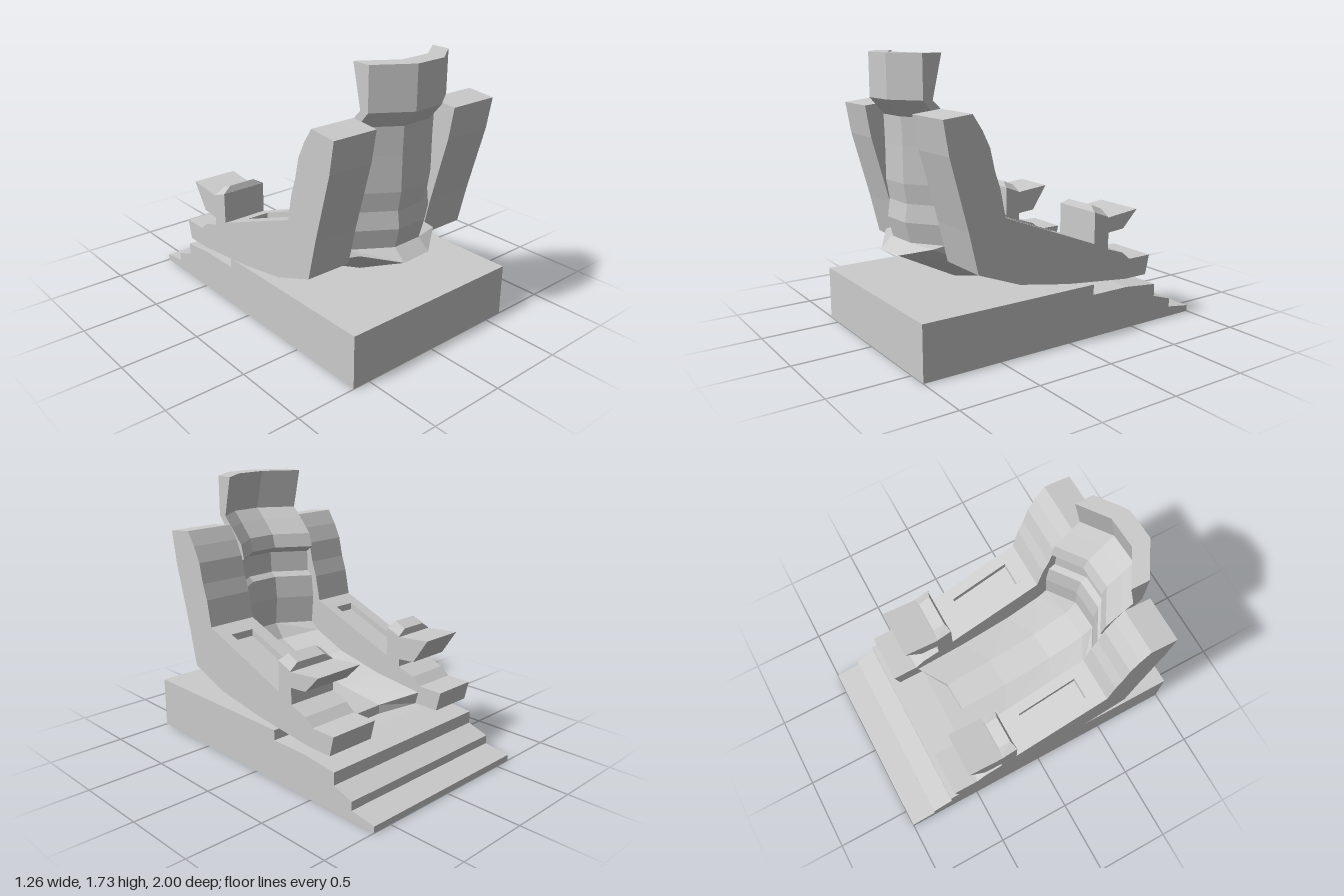
import * as THREE from 'three';

const material = new THREE.MeshStandardMaterial({ color: 0xcccccc, flatShading: true });

// Skin closed [z, y] outlines placed at increasing x, and close both ends.
function loft(name, columns) {
  const positions = [];
  const flip = THREE.ShapeUtils.area(columns[0].outline.map(([z, y]) => new THREE.Vector2(-z, y))) < 0;
  const rings = columns.map(({ x, outline }) => {
    const ring = outline.map(([z, y]) => new THREE.Vector3(x, y, z));
    return flip ? ring.reverse() : ring;
  });
  const tri = (...points) => points.forEach((p) => positions.push(p.x, p.y, p.z));

  for (let c = 0; c < rings.length - 1; c++) {
    const a = rings[c], b = rings[c + 1];
    for (let i = 0; i < a.length; i++) {
      const j = (i + 1) % a.length;
      tri(a[i], a[j], b[j]);
      tri(a[i], b[j], b[i]);
    }
  }
  [[rings[0], false], [rings[rings.length - 1], true]].forEach(([ring, facesPlusX]) => {
    const flat = ring.map((p) => new THREE.Vector2(-p.z, p.y));
    THREE.ShapeUtils.triangulateShape(flat, []).forEach((face) => {
      const ccw = THREE.ShapeUtils.area(face.map((i) => flat[i])) > 0;
      const order = ccw === facesPlusX ? face : [...face].reverse();
      tri(...order.map((i) => ring[i]));
    });
  });

  const geometry = new THREE.BufferGeometry();
  geometry.setAttribute('position', new THREE.Float32BufferAttribute(positions, 3));
  geometry.computeVertexNormals();
  const mesh = new THREE.Mesh(geometry, material);
  mesh.name = name;
  return mesh;
}

const slab = (name, x0, x1, outline) => loft(name, [{ x: x0, outline }, { x: x1, outline }]);

// Height of the sloping armrest top at depth z
const armTop = (z) => 0.58 + (z + 0.2) * 0.385;

// Side pod outline, optionally with the armrest recess cut into its top
function podOutline(recessed) {
  const recess = recessed
    ? [[0.345, armTop(0.345)], [0.345, armTop(0.345) - 0.045], [-0.06, armTop(-0.06) - 0.045], [-0.06, armTop(-0.06)]]
    : [];
  return [
    [0.84, 1.4], [0.66, 1.42], [0.6, 1.33], [0.55, 1.23], [0.52, 1.1], [0.485, 1.0], [0.45, 0.83],
    ...recess,
    [-0.2, 0.58], [-0.31, 0.53], [-0.43, 0.49], [-0.49, 0.44], [-0.66, 0.44], [-0.63, 0.315],
    [-0.46, 0.315], [0, 0.365], [0.35, 0.425], [0.63, 0.53],
    [0.69, 0.78], [0.75, 1.0], [0.805, 1.2],
  ];
}

// Armrest pod with recess and raised control console
function sidePod(name, x0, x1, r0, r1, flapBottom) {
  const pod = new THREE.Group();
  pod.name = name;
  pod.add(
    slab('podSide', x0, r0, podOutline(false)),
    slab('podRecess', r0, r1, podOutline(true)),
    slab('podSide', r1, x1, podOutline(false)),
  );
  // Post and forward-leaning wedge panel
  pod.add(slab('controlConsole', x0, x1, [
    [-0.2, 0.56], [-0.2, 0.775], [-0.3, 0.73], [-0.54, 0.755], [-0.43, flapBottom],
    [-0.31, flapBottom - 0.01], [-0.31, 0.51],
  ]));
  // Bevelled cap on the post
  const foot = [[-0.2, 0.765], [-0.2, 0.775], [-0.305, 0.735], [-0.305, 0.725]];
  const cap = [[-0.2, 0.765], [-0.22, 0.81], [-0.3, 0.775], [-0.305, 0.725]];
  const inset = 0.06;
  pod.add(loft('consoleCap', [
    { x: x0, outline: foot }, { x: x0 + inset, outline: cap },
    { x: x1 - inset, outline: cap }, { x: x1, outline: foot },
  ]));
  return pod;
}

// Seat, backrest and headrest shell: centre [z, y] and shift [dz, dy] at its sides
function seatShell() {
  const profile = [
    [-0.34, 0.33, -0.14, 0.065], [0, 0.37, -0.12, 0.065], [0.35, 0.45, -0.12, 0.06], [0.6, 0.56, -0.13, 0.05],
    [0.67, 0.66], [0.655, 0.85], [0.67, 1.0], [0.71, 1.03], [0.715, 1.17], [0.665, 1.21], [0.69, 1.3],
    [0.78, 1.4], [0.85, 1.47], [0.79, 1.73], [0.91, 1.73], [0.91, 1.47], [0.825, 1.37],
    [0.82, 1.2], [0.82, 0.98], [0.8, 0.86], [0.815, 0.75], [0.785, 0.625],
    [0.865, 0.555, -0.14, 0.06], [0.49, 0.37, -0.12, 0.06], [0.31, 0.335, -0.12, 0.06],
    [0, 0.305, -0.12, 0.05], [-0.34, 0.27, -0.12, 0.045],
  ];
  const outline = (side) => profile.map(([z, y, dz = -0.14, dy = 0]) => [z + dz * side, y + dy * side]);
  return loft('seatShell', [[-0.335, 1], [-0.115, 0], [0.09, 0.06], [0.27, 1]]
    .map(([x, side]) => ({ x, outline: outline(side) })));
}

export function createModel() {
  const model = new THREE.Group();
  model.name = 'steppedThrone';

  // Plinth with front steps
  model.add(slab('steppedBase', -0.615, 0.63, [
    [1, 0], [1, 0.335], [-0.18, 0.335], [-0.18, 0.27], [-0.45, 0.27], [-0.69, 0.245],
    [-0.69, 0.165], [-0.83, 0.12], [-0.83, 0.065], [-1, 0.04], [-1, 0],
  ]));
  model.add(seatShell());
  model.add(sidePod('rightPod', -0.63, -0.335, -0.55, -0.405, 0.59));
  model.add(sidePod('leftPod', 0.27, 0.605, 0.36, 0.525, 0.645));
  return model;
}
